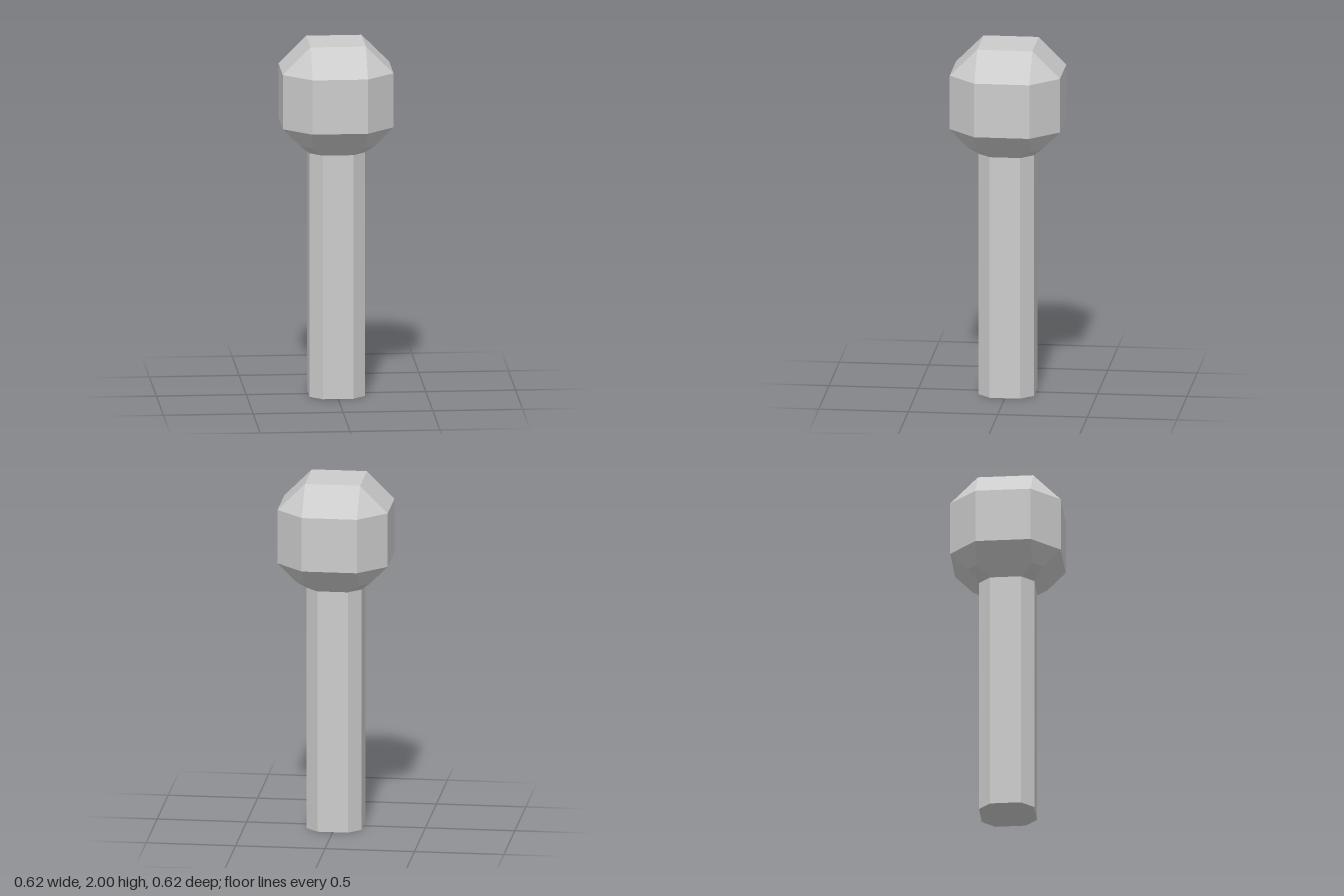
import * as THREE from 'three';
import { ConvexGeometry } from 'three/addons/geometries/ConvexGeometry.js';

const A = 0.154;       // half width of the shaft and of the head's square faces
const B = 0.308;       // half width of the head
const C = 0.085;       // half width of the shaft's main faces
const T = 0.054;       // height of the small cuts under the head
const CENTRE = 2 - B;  // height of the head's centre

// Eight-sided shaft, with closed ends
function shaftGeometry() {
  const corners = [[A, -C], [A, C], [C, A], [-C, A], [-A, C], [-A, -C], [-C, -A], [C, -A]];
  const shape = new THREE.Shape(corners.map(([x, y]) => new THREE.Vector2(x, y)));
  const geometry = new THREE.ExtrudeGeometry(shape, { depth: CENTRE - B, bevelEnabled: false });
  return geometry.rotateX(-Math.PI / 2);
}

// Faceted head: a bevelled cube whose four bottom corners are cut to meet the shaft
function headGeometry() {
  const points = [];
  for (const sx of [-1, 1]) {
    for (const sz of [-1, 1]) {
      const add = (x, y, z) => points.push(new THREE.Vector3(sx * x, y, sz * z));
      add(A, B, A);
      for (const y of [A, -A]) {
        add(B, y, A);
        add(A, y, B);
      }
      // bottom corner cut
      add(A + T, -B + T, A);
      add(A, -B + T, A + T);
      add(A, -B, C);
      add(C, -B, A);
    }
  }
  return new ConvexGeometry(points);
}

export function createModel() {
  const group = new THREE.Group();
  const grey = new THREE.MeshStandardMaterial({ color: 0xcccccc });
  grey.name = 'light grey';
  grey.flatShading = true;

  const shaft = new THREE.Mesh(shaftGeometry(), grey);
  shaft.name = 'shaft';

  const head = new THREE.Mesh(headGeometry(), grey);
  head.name = 'head';
  head.position.y = CENTRE;

  group.add(shaft, head);
  return group;
}
